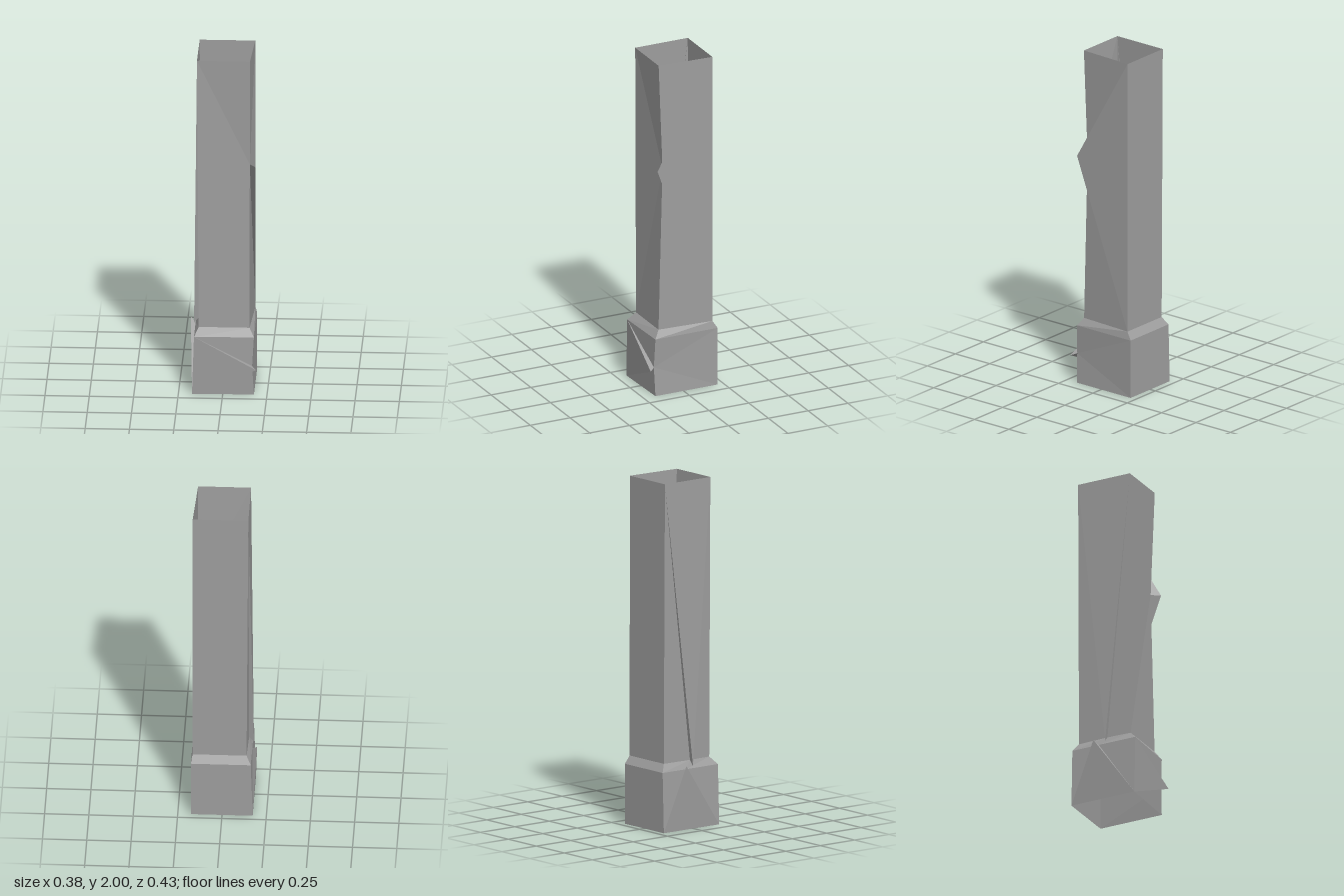
import * as THREE from 'three';

const material = new THREE.MeshStandardMaterial({ color: 0x9e9e9e, flatShading: true, side: THREE.DoubleSide });

// Builds a sheet from polygons, each fanned from its first corner (counter-clockwise from outside)
function panel(name, ...polygons) {
  const points = [];
  for (const p of polygons) {
    for (let i = 1; i < p.length - 1; i++) points.push(...p[0], ...p[i], ...p[i + 1]);
  }
  const geometry = new THREE.BufferGeometry();
  geometry.setAttribute('position', new THREE.Float32BufferAttribute(points, 3));
  geometry.computeVertexNormals();
  const mesh = new THREE.Mesh(geometry, material);
  mesh.name = name;
  return mesh;
}

// A lifted shard hinged on edge a-b, with thin walls joining its tip to the dent in the wall behind
function shard(name, a, b, tip, dent) {
  return panel(name, [a, b, tip], [a, tip, dent], [b, dent, tip]);
}

// A square ring of corners: front left, front right, back right, back left (as seen from the front)
function ring(y, corners) {
  return corners.map(([x, z]) => [x, y, z]);
}

export function createModel() {
  const foot = ring(0, [[-0.173, 0.188], [0.176, 0.177], [0.176, -0.214], [-0.173, -0.214]]);
  const plinthTop = ring(0.345, [[-0.162, 0.188], [0.176, 0.177], [0.176, -0.214], [-0.162, -0.214]]);
  const neck = ring(0.39, [[-0.137, 0.145], [0.15, 0.145], [0.168, -0.185], [-0.137, -0.185]]);
  const top = ring(2, [[-0.147, 0.145], [0.152, 0.145], [0.167, -0.185], [-0.147, -0.185]]);

  // Dented points where the walls are cracked, and the tips of the lifted shards
  const shaftDent = [0.15, 1.37, 0.12];
  const shaftTip = [0.185, 1.37, 0.168];
  const leftDent = [-0.143, 0.39, 0];
  const leftTip = [-0.17, 0.36, 0];
  const plinthDent = [0.166, 0.173, 0.182];
  const plinthTip = [0.19, 0.16, 0.213];
  const sideDent = [-0.163, 0.345, -0.045];
  const sideTip = [-0.191, 0.37, -0.065];

  // Plinth walls
  const plinth = new THREE.Group();
  plinth.name = 'plinth';
  plinth.add(
    panel('plinthFront', [plinthDent, plinthTop[1], plinthTop[0]], [plinthDent, foot[0], foot[1]]),
    shard('plinthFrontShard', plinthTop[0], foot[0], plinthTip, plinthDent),
    panel('plinthRightSide', [plinthDent, foot[1], foot[2], plinthTop[2], plinthTop[1]]),
    panel('plinthBack', [foot[2], foot[3], plinthTop[3], plinthTop[2]]),
    panel('plinthLeftSide', [foot[3], sideDent, plinthTop[3]], [foot[0], plinthTop[0], sideDent]),
    shard('plinthLeftShard', foot[3], foot[0], sideTip, sideDent),
  );

  // Sloping shoulder between plinth and shaft
  const shoulder = new THREE.Group();
  shoulder.name = 'shoulder';
  ['Front', 'Right', 'Back'].forEach((side, i) => {
    shoulder.add(panel('shoulder' + side, [plinthTop[i], plinthTop[i + 1], neck[i + 1], neck[i]]));
  });
  shoulder.add(panel('shoulderLeft',
    [plinthTop[3], sideDent, leftDent, neck[3]],
    [sideDent, plinthTop[0], neck[0], leftDent]));

  // Tall hollow shaft, open at the top
  const shaft = new THREE.Group();
  shaft.name = 'shaft';
  shaft.add(
    panel('shaftFront', [shaftDent, top[1], top[0], neck[0], neck[1]]),
    panel('shaftRightSide', [shaftDent, top[2], top[1]], [shaftDent, neck[1], neck[2]]),
    shard('shaftRightShard', neck[2], top[2], shaftTip, shaftDent),
    panel('shaftBack', [neck[2], neck[3], top[3], top[2]]),
    panel('shaftLeftSide', [neck[3], leftDent, top[3]], [leftDent, neck[0], top[0]]),
    shard('shaftLeftShard', top[0], top[3], leftTip, leftDent),
  );

  const model = new THREE.Group();
  model.name = 'crackedPillar';
  model.add(plinth, shoulder, shaft);
  return model;
}
